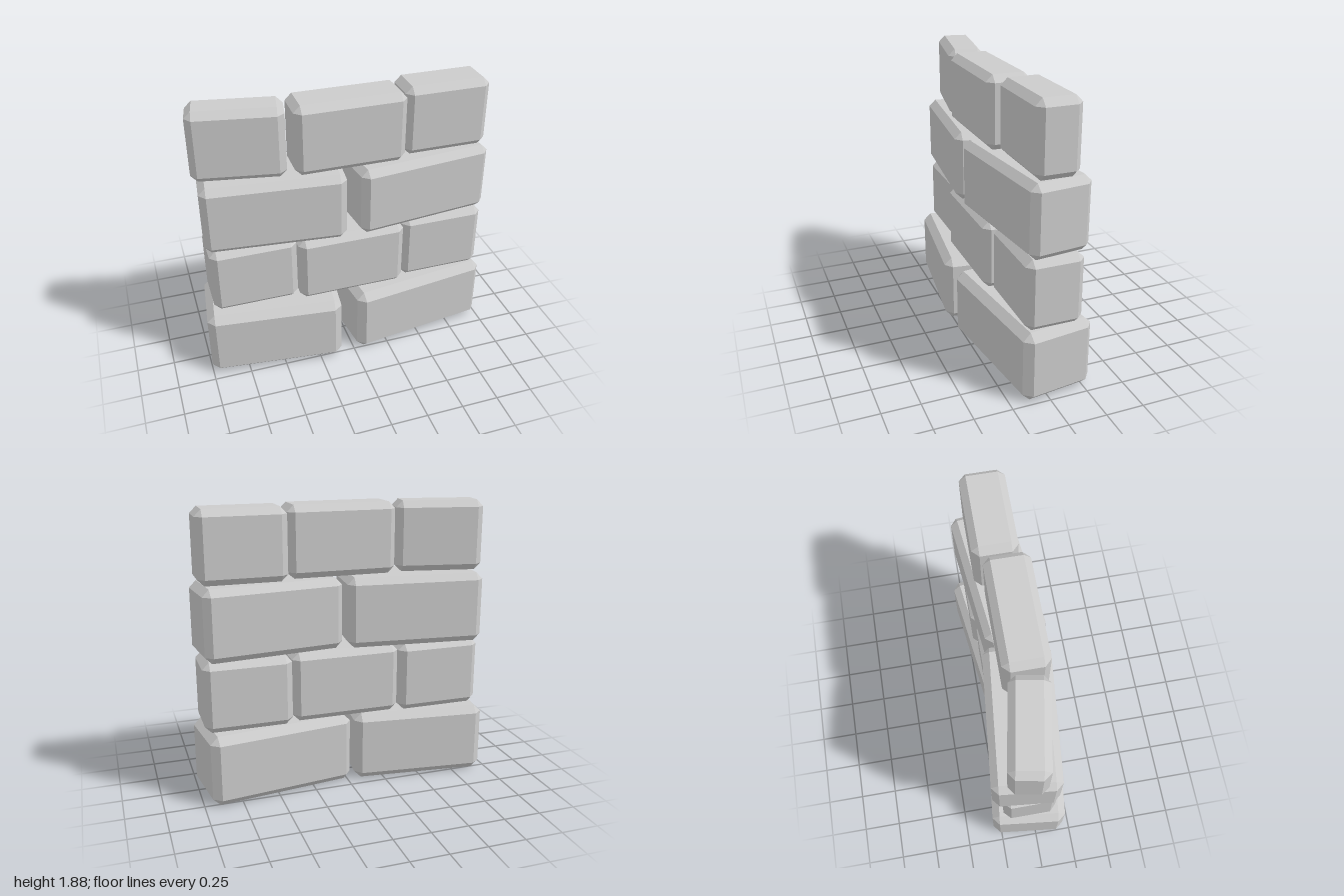
import * as THREE from 'three';
import { ConvexGeometry } from 'three/addons/geometries/ConvexGeometry.js';

// Box whose twelve edges and eight corners are cut flat by the bevel size.
function chamferedBox(w, h, d, bevel) {
  const points = [];
  for (const sx of [-1, 1]) for (const sy of [-1, 1]) for (const sz of [-1, 1]) {
    const x = w / 2, y = h / 2, z = d / 2, b = bevel;
    points.push(
      new THREE.Vector3(sx * x, sy * (y - b), sz * (z - b)),
      new THREE.Vector3(sx * (x - b), sy * y, sz * (z - b)),
      new THREE.Vector3(sx * (x - b), sy * (y - b), sz * z),
    );
  }
  return new ConvexGeometry(points);
}

// Courses from the ground up; each brick is [x, z, width, depth, turn].
const courses = [
  { name: 'bottomCourse', y: 0, height: 0.475, bevel: 0.05, bricks: [
    [-0.525, -0.003, 0.91, 0.51, -0.114],
    [0.485, -0.012, 0.98, 0.48, 0.13],
  ] },
  { name: 'secondCourse', y: 0.475, height: 0.47, bevel: 0.045, bricks: [
    [-0.647, -0.04, 0.578, 0.36, 0],
    [0.01, -0.003, 0.735, 0.39, 0],
    [0.674, -0.038, 0.578, 0.375, 0],
  ] },
  { name: 'thirdCourse', y: 0.945, height: 0.47, bevel: 0.045, bricks: [
    [-0.48, -0.03, 0.926, 0.43, -0.1],
    [0.502, -0.015, 0.927, 0.4, 0.11],
  ] },
  { name: 'topCourse', y: 1.417, height: 0.468, bevel: 0.044, bricks: [
    [-0.675, -0.027, 0.59, 0.242, -0.18],
    [0.01, 0.022, 0.727, 0.286, 0],
    [0.671, -0.032, 0.572, 0.284, 0],
  ] },
];

export function createModel() {
  const wall = new THREE.Group();
  wall.name = 'brickWall';
  const material = new THREE.MeshStandardMaterial({ color: 0xcccccc, flatShading: true });

  for (const { name, y, height, bevel, bricks } of courses) {
    const course = new THREE.Group();
    course.name = name;
    bricks.forEach(([x, z, w, d, turn], i) => {
      const brick = new THREE.Mesh(chamferedBox(w, height, d, bevel), material);
      brick.name = `brick${i + 1}`;
      brick.position.set(x, y + height / 2, z);
      brick.rotation.y = turn;
      course.add(brick);
    });
    wall.add(course);
  }
  return wall;
}
